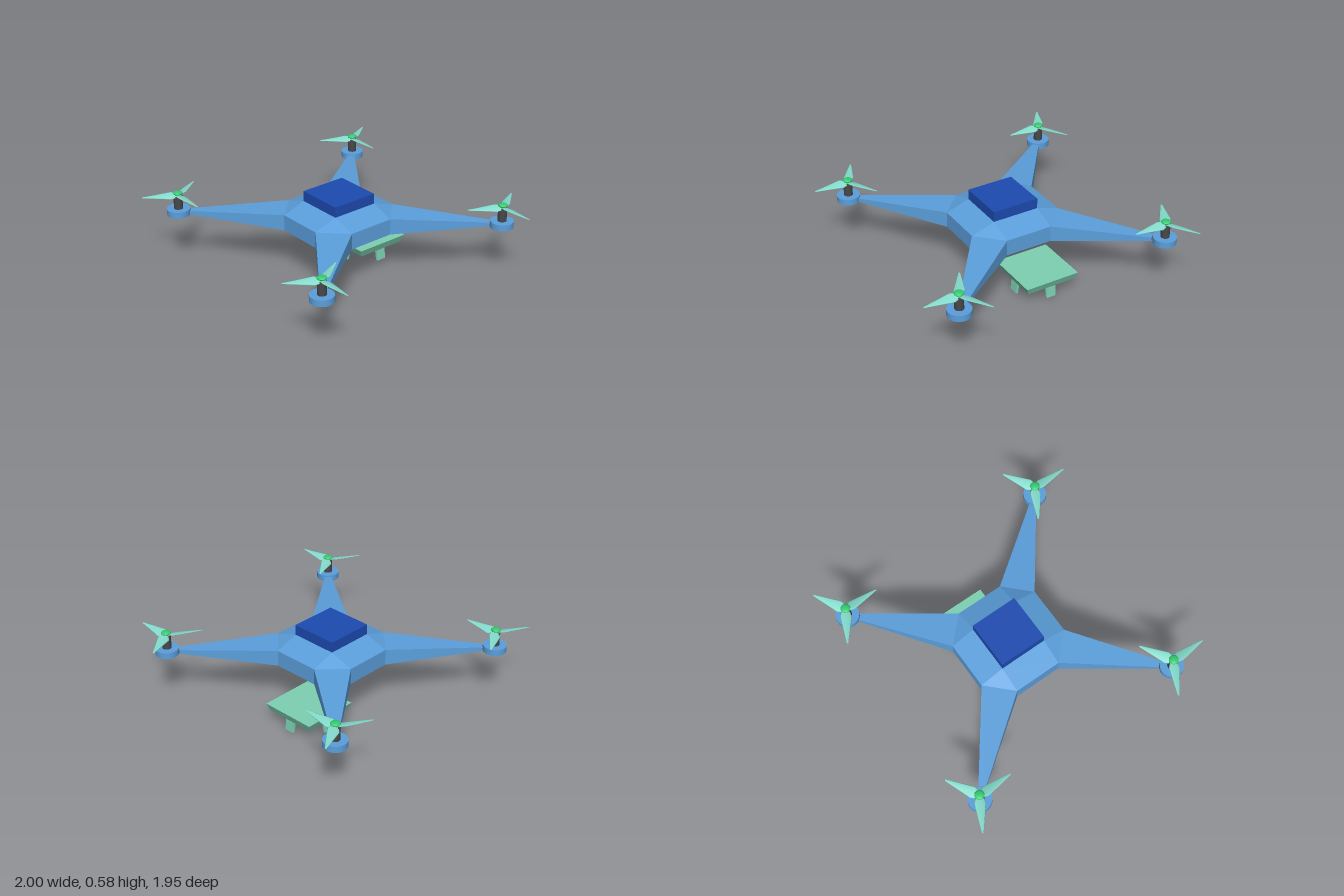
import * as THREE from 'three';
import { ConvexGeometry } from 'three/addons/geometries/ConvexGeometry.js';

const mat = (color, flatShading = false) => new THREE.MeshStandardMaterial({ color, flatShading });
const blue = mat(0x5b9fdc, true);
const navy = mat(0x1d4bb0, true);
const mint = mat(0x7dd0b2, true);
const teal = mat(0x84dccd);
const green = mat(0x34cc70);
const dark = mat(0x484848);
const motorBlue = mat(0x5b9fdc);

const CENTRE_Z = -0.06; // middle of the airframe
const v = (x, y, z) => new THREE.Vector3(x, y, z);

function part(name, geometry, material, x = 0, y = 0, z = 0) {
  const mesh = new THREE.Mesh(geometry, material);
  mesh.name = name;
  mesh.position.set(x, y, z);
  return mesh;
}

// Octagonal hull with square top and bottom plates
function bodyGeometry() {
  const points = [];
  for (const sx of [-1, 1]) for (const sz of [-1, 1]) {
    for (const y of [0.28, 0.505]) points.push(v(0.17 * sx, y, 0.17 * sz));
    for (const y of [0.335, 0.45]) {
      points.push(v(0.17 * sx, y, 0.34 * sz), v(0.34 * sx, y, 0.17 * sz));
    }
  }
  return new ConvexGeometry(points);
}

// Tapered arm from a diagonal hull face to a motor
function armGeometry(sx, sz) {
  const points = [];
  for (const [a, b, low, high] of [[0.17, 0.34, 0.335, 0.45], [0.71, 0.745, 0.38, 0.407]]) {
    for (const y of [low, high]) {
      points.push(v(a * sx, y, b * sz), v(b * sx, y, a * sz));
    }
  }
  return new ConvexGeometry(points);
}

// Pitched, lens-shaped blade pointing along +z
function bladeGeometry() {
  const length = 0.245;
  const g = new THREE.CylinderGeometry(1, 1, length, 12, 10);
  g.translate(0, length / 2, 0);
  const p = g.attributes.position;
  for (let i = 0; i < p.count; i++) {
    const t = p.getY(i) / length;
    const width = t < 0.2 ? 0.022 + 0.09 * t : 0.04 - 0.044 * (t - 0.2);
    const thick = 0.007 * (1 - 0.75 * t);
    const pitch = 0.32 * (1 - 0.5 * t);
    const x = p.getX(i) * width, z = p.getZ(i) * thick;
    p.setX(i, x * Math.cos(pitch) - z * Math.sin(pitch));
    p.setZ(i, x * Math.sin(pitch) + z * Math.cos(pitch));
  }
  g.rotateX(Math.PI / 2);
  g.computeVertexNormals();
  return g;
}

function rotor(x, z) {
  const group = new THREE.Group();
  group.name = 'rotor';
  group.position.set(x, 0, z);
  group.add(part('motor', new THREE.CylinderGeometry(0.081, 0.081, 0.045, 32), motorBlue, 0, 0.393));
  group.add(part('shaft', new THREE.CylinderGeometry(0.031, 0.031, 0.1, 24), dark, 0, 0.46));
  const cap = part('hubCap', new THREE.SphereGeometry(0.033, 24, 12), green, 0, 0.53);
  cap.scale.y = 0.4;
  group.add(cap);
  const blade = bladeGeometry();
  for (let i = 0; i < 3; i++) {
    const mesh = part('blade', blade, teal, 0, 0.512);
    mesh.rotation.y = i * Math.PI * 2 / 3;
    group.add(mesh);
  }
  return group;
}

// Hollow square tray standing on four splayed legs
function landingTray() {
  const group = new THREE.Group();
  group.name = 'tray';
  group.position.set(0.308, 0, -0.147);
  const profile = [[0, 0.105], [0.13, 0.105], [0.13, 0.08], [0.18, 0.08], [0.202, 0.135], [0, 0.135]]
    .map(([r, y]) => new THREE.Vector2(r * Math.SQRT2, y));
  group.add(part('trayTop', new THREE.LatheGeometry(profile, 4, Math.PI / 4), mint));
  const points = [];
  for (const x of [-0.036, 0.036]) {
    points.push(v(x, 0, 0.173), v(x, 0, 0.187), v(x, 0.085, 0.157), v(x, 0.085, 0.179));
  }
  const leg = new ConvexGeometry(points);
  for (let i = 0; i < 4; i++) {
    const mesh = part('leg', leg, mint);
    mesh.rotation.y = i * Math.PI / 2;
    group.add(mesh);
  }
  return group;
}

export function createModel() {
  const model = new THREE.Group();
  model.name = 'quadcopter';
  const frame = new THREE.Group();
  frame.name = 'airframe';
  frame.position.z = CENTRE_Z;
  frame.add(part('body', bodyGeometry(), blue));
  frame.add(part('topBox', new THREE.BoxGeometry(0.34, 0.075, 0.34), navy, 0, 0.5425));
  for (const sx of [-1, 1]) for (const sz of [-1, 1]) {
    frame.add(part('arm', armGeometry(sx, sz), blue));
    frame.add(rotor(0.787 * sx, 0.787 * sz));
  }
  model.add(frame, landingTray());
  return model;
}
